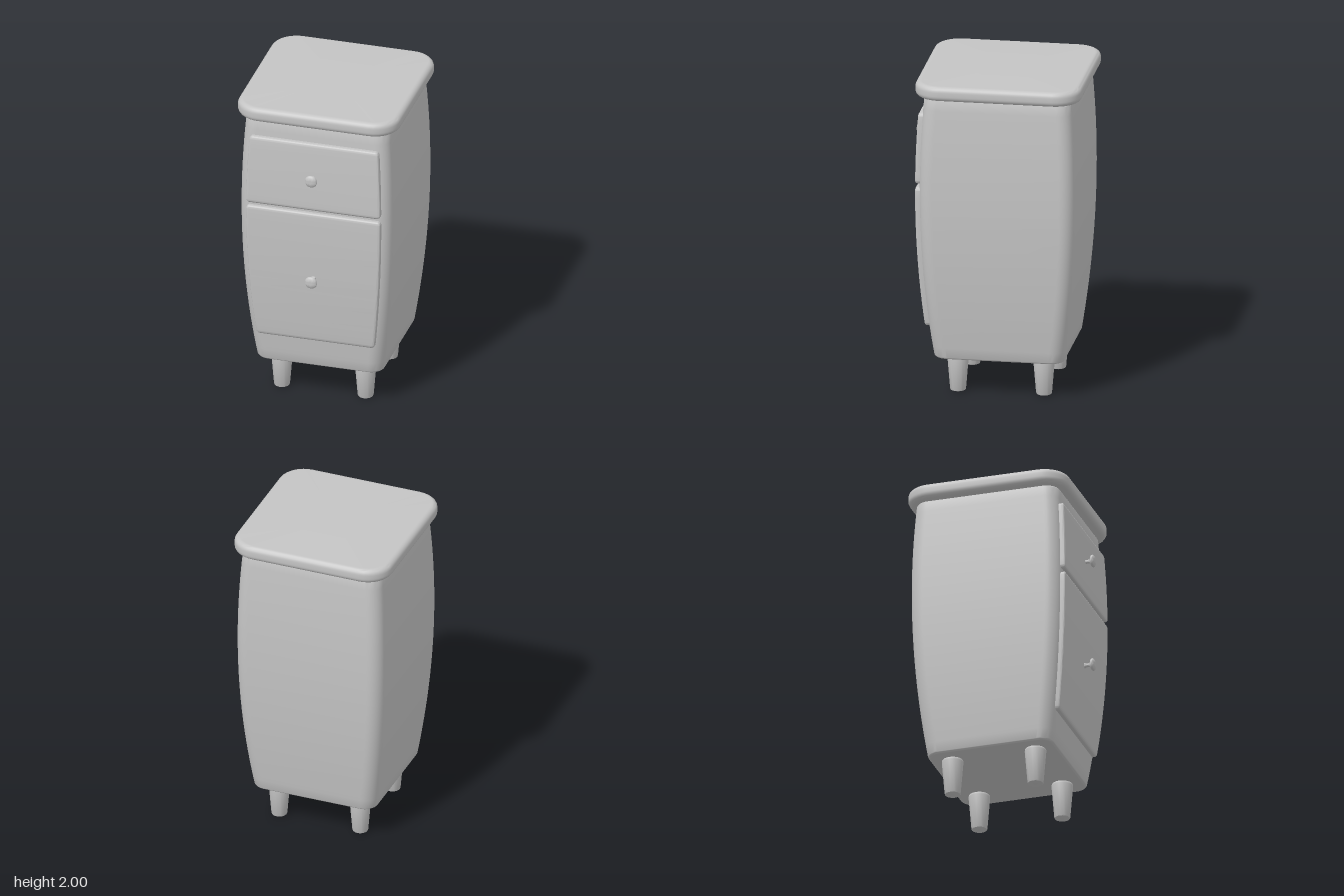
import * as THREE from 'three';
import { toCreasedNormals } from 'three/addons/utils/BufferGeometryUtils.js';

const CZ = -0.027; // depth centre of the cabinet
const bulge = (y) => 0.48 - 0.07 * (y - 1.3) ** 2; // half width of the swelling body

// Rounded rectangle in the xz plane, with an extra point beside each corner to keep the sides flat
function ring(hw, hd, r, cz, y) {
  const pts = [], n = 8, e = 0.006;
  for (let c = 0; c < 4; c++) {
    const sx = c === 0 || c === 3 ? 1 : -1, sz = c < 2 ? 1 : -1;
    for (let k = -1; k <= n + 1; k++) {
      const a = (c + Math.min(Math.max(k, 0), n) / n) * Math.PI / 2;
      const t = k < 0 ? -e : k > n ? e : 0;
      pts.push([
        sx * (hw - r) + Math.cos(a) * r - Math.sin(a) * t, y,
        cz + sz * (hd - r) + Math.sin(a) * r + Math.cos(a) * t,
      ]);
    }
  }
  return pts;
}

// Stack of rings from y0 to y1 with rounded ends; section(y) gives each ring's size
function loft(y0, y1, edge, steps, section, depthEdge = edge) {
  const rows = [];
  const add = (y, f, extra = 0) => {
    const s = section(y);
    const ix = edge * f + extra, iz = depthEdge * f + extra;
    rows.push(ring(s.hw - ix, s.hd - iz, Math.max(s.r - Math.max(iz, 0), 0.002), s.cz, y));
  };
  const n = 6, q = Math.PI / 2;
  add(y0, 1, 0.005);
  for (let i = 0; i <= n; i++) add(y0 + edge * (1 - Math.sin(i / n * q)), 1 - Math.cos(i / n * q));
  rows.splice(1, n + 1, ...rows.slice(1, n + 2).reverse());
  for (let i = 1; i < steps; i++) add(y0 + edge + (y1 - y0 - 2 * edge) * i / steps, 0);
  for (let i = 0; i <= n; i++) add(y1 - edge * (1 - Math.sin(i / n * q)), 1 - Math.cos(i / n * q));
  add(y1, 1, 0.005);

  const m = rows[0].length, pos = rows.flat(2), idx = [];
  const last = (rows.length - 1) * m, bottom = rows.length * m, top = bottom + 1;
  pos.push(0, y0, section(y0).cz, 0, y1, section(y1).cz);
  for (let i = 0; i < m; i++) {
    const j = (i + 1) % m;
    for (let k = 0; k < rows.length - 1; k++) {
      const a = k * m + i, b = k * m + j;
      idx.push(a, a + m, b, b, a + m, b + m);
    }
    idx.push(bottom, i, j, top, last + j, last + i);
  }
  const g = new THREE.BufferGeometry();
  g.setAttribute('position', new THREE.Float32BufferAttribute(pos, 3));
  g.setIndex(idx);
  return toCreasedNormals(g, 0.7);
}

function lathe(points, segments) {
  const g = new THREE.LatheGeometry(points.map(([x, y]) => new THREE.Vector2(x, y)), segments);
  return toCreasedNormals(g, 0.7);
}

export function createModel() {
  const model = new THREE.Group();
  model.name = 'bedsideCabinet';
  const paint = new THREE.MeshStandardMaterial({ color: 0xc4c4c4 });
  paint.name = 'light grey';
  const add = (name, geometry, x = 0, y = 0, z = 0) => {
    const mesh = new THREE.Mesh(geometry, paint);
    mesh.name = name;
    mesh.position.set(x, y, z);
    model.add(mesh);
    return mesh;
  };

  // Swelling body and overhanging top
  add('body', loft(0.23, 1.908, 0.015, 28, (y) => ({ hw: bulge(y), hd: bulge(y), r: 0.085, cz: CZ })));
  add('top', loft(1.908, 2, 0.034, 1, () => ({ hw: 0.512, hd: 0.512, r: 0.16, cz: CZ })));

  // Curved drawer fronts following the body
  const front = (y) => ({ hw: bulge(y) - 0.055, hd: 0.023, r: 0.012, cz: CZ + bulge(y) + 0.003 });
  add('upperDrawer', loft(1.35, 1.798, 0.022, 10, front, 0.01));
  add('lowerDrawer', loft(0.43, 1.328, 0.022, 18, front, 0.01));

  // Knobs: flared stem and flattened round head
  const knobProfile = [[0.018, 0], [0.013, 0.008], [0.011, 0.02], [0.012, 0.03], [0.018, 0.038]];
  for (let i = 1; i <= 10; i++) {
    const a = -0.9 + (Math.PI / 2 + 0.9) * i / 10;
    knobProfile.push([Math.max(0.039 * Math.cos(a), 0), 0.053 + 0.017 * Math.sin(a)]);
  }
  for (const [name, y] of [['upperKnob', 1.573], ['lowerKnob', 0.878]]) {
    add(name, lathe(knobProfile, 24), 0, y, 0.466).rotation.x = Math.PI / 2;
  }

  // Four tapered legs
  const legProfile = [[0, 0], [0.04, 0], [0.046, 0.003], [0.049, 0.01], [0.066, 0.215], [0.065, 0.226], [0.06, 0.232], [0, 0.232]];
  for (const sx of [-1, 1]) for (const sz of [-1, 1]) {
    add((sz > 0 ? 'front' : 'back') + (sx > 0 ? 'Left' : 'Right') + 'Leg', lathe(legProfile, 24), sx * 0.265, 0, CZ + sz * 0.265);
  }
  return model;
}
